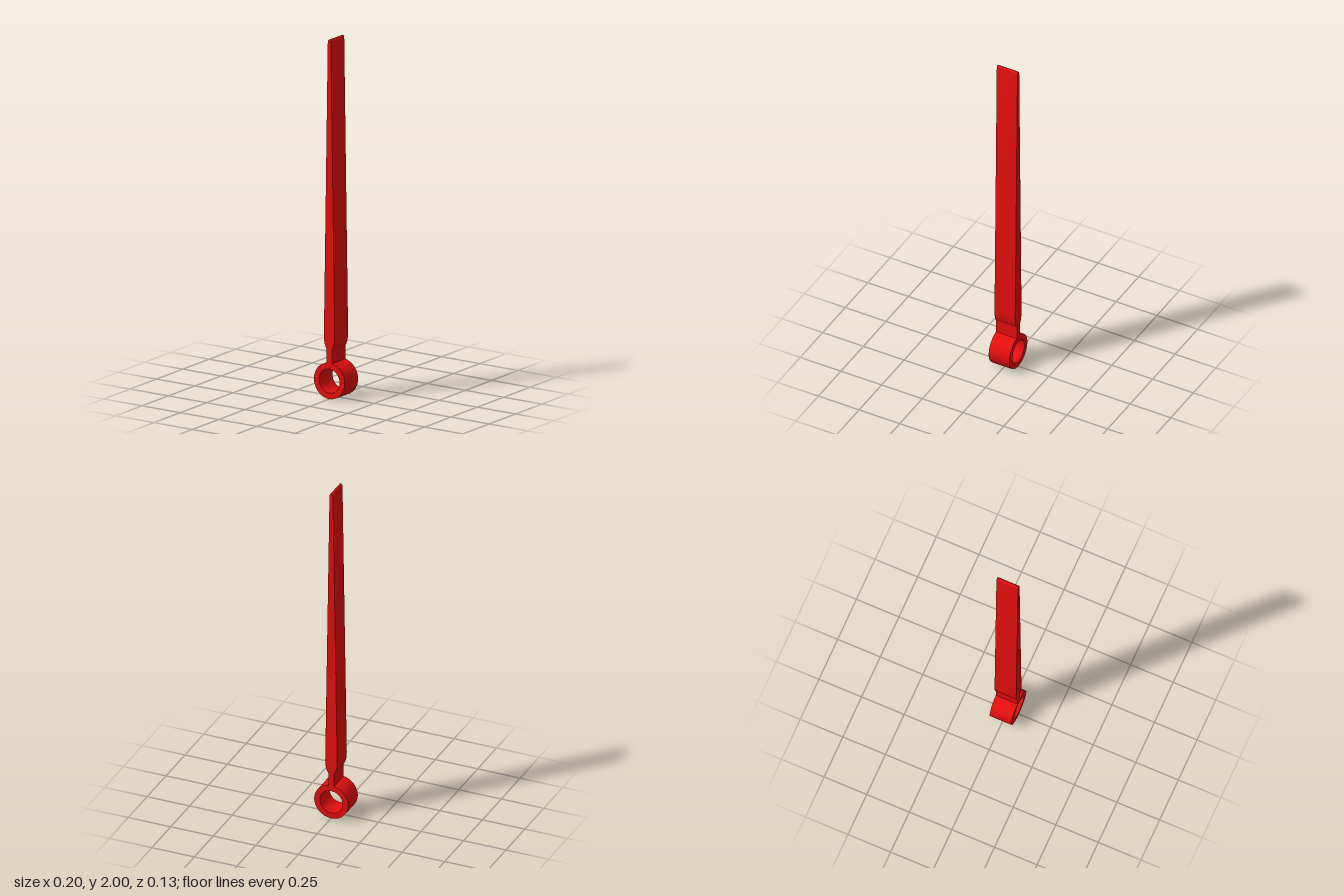
import * as THREE from 'three';
import { toCreasedNormals } from 'three/addons/utils/BufferGeometryUtils.js';

const DEPTH = 0.127;
const RING_R = 0.1, HOLE_R = 0.067, RING_Y = 0.1;
const STEM = 0.017; // half width of the stem

export function createModel() {
  const group = new THREE.Group();
  group.name = 'pointerHand';
  const material = new THREE.MeshStandardMaterial({ color: 0xe60e0e });

  // Extrudes a front outline through the depth, keeping only sharp corners creased
  function addPlate(name, shape, curveSegments) {
    const geometry = new THREE.ExtrudeGeometry(shape, { depth: DEPTH, bevelEnabled: false, curveSegments });
    geometry.translate(0, 0, -DEPTH / 2);
    const mesh = new THREE.Mesh(toCreasedNormals(geometry, 0.5), material);
    mesh.name = name;
    group.add(mesh);
  }

  // Pivot ring
  const ring = new THREE.Shape();
  ring.absarc(0, RING_Y, RING_R, 0, Math.PI * 2, false);
  const hole = new THREE.Path();
  hole.absarc(0, RING_Y, HOLE_R, 0, Math.PI * 2, true);
  ring.holes.push(hole);
  addPlate('pivotRing', ring, 64);

  // Stem and tapering blade, seated on the ring's curve
  const a = Math.asin(STEM / RING_R);
  const seatY = RING_Y + RING_R * Math.cos(a);
  const blade = new THREE.Shape();
  blade.moveTo(STEM, seatY);
  blade.lineTo(STEM, 0.275);
  blade.bezierCurveTo(0.028, 0.29, 0.036, 0.315, 0.035, 0.36);
  blade.lineTo(0.01, 1.985);
  blade.bezierCurveTo(0.009, 2.005, -0.009, 2.005, -0.01, 1.985); // rounded tip
  blade.lineTo(-0.035, 0.36);
  blade.bezierCurveTo(-0.036, 0.315, -0.028, 0.29, -STEM, 0.275);
  blade.lineTo(-STEM, seatY);
  blade.absarc(0, RING_Y, RING_R, Math.PI / 2 + a, Math.PI / 2 - a, true);
  addPlate('blade', blade, 14);

  return group;
}
